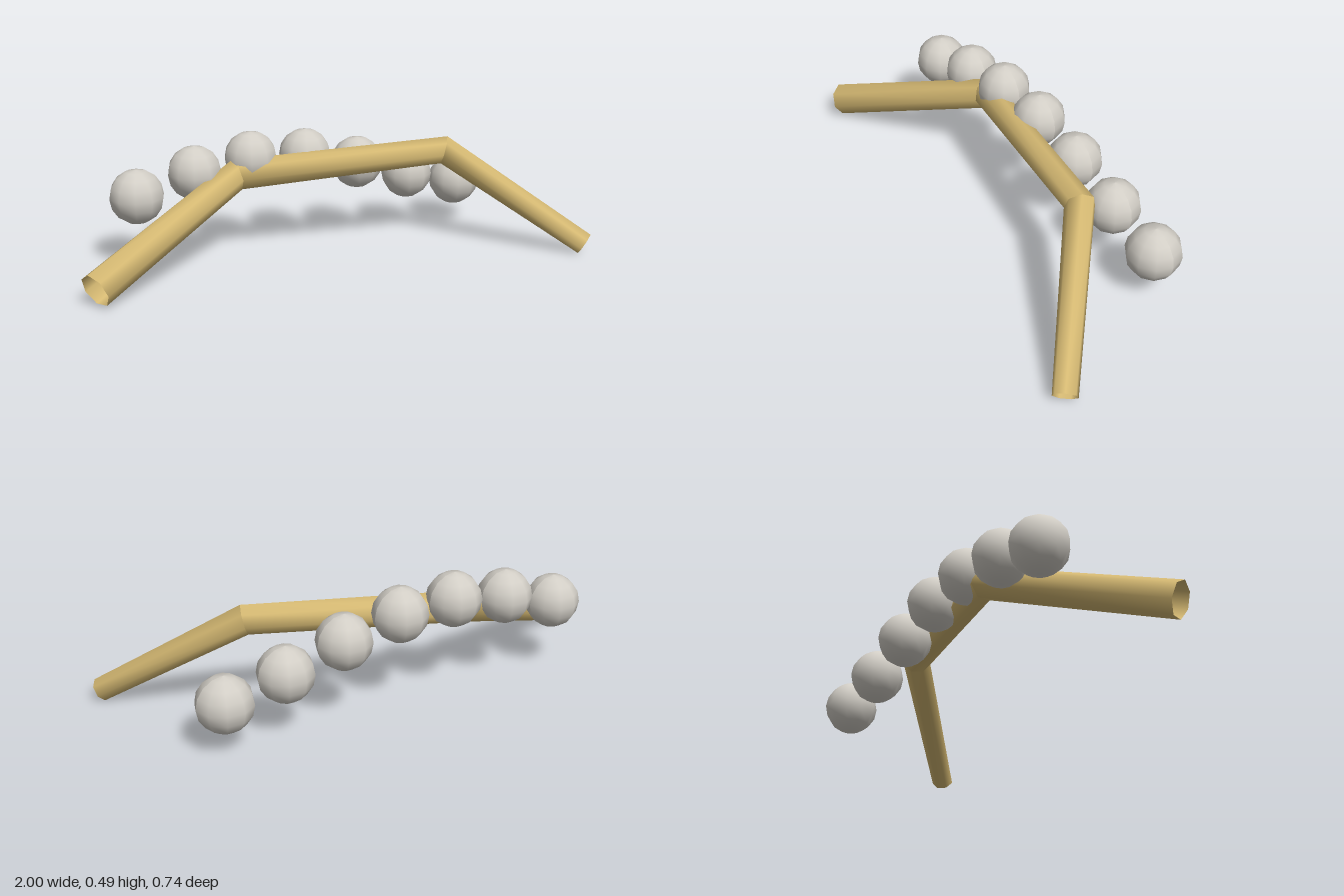
import * as THREE from 'three';
import { mergeGeometries } from 'three/addons/utils/BufferGeometryUtils.js';

const SIDES = 7;

// One ring of points around a path point, square to the given direction
function ring(centre, dir, radius, phase) {
  const u = new THREE.Vector3(0, 1, 0).cross(dir).normalize();
  const v = new THREE.Vector3().crossVectors(dir, u);
  const points = [];
  for (let i = 0; i < SIDES; i++) {
    const a = THREE.MathUtils.degToRad(phase) + (i / SIDES) * Math.PI * 2;
    points.push(centre.clone()
      .addScaledVector(u, radius * Math.cos(a))
      .addScaledVector(v, radius * Math.sin(a)));
  }
  return points;
}

// Open tube section between two rings, smooth around, creased at the joints
function section(a, b) {
  const index = [];
  for (let i = 0; i < SIDES; i++) {
    const j = (i + 1) % SIDES;
    index.push(i, j, SIDES + j, i, SIDES + j, SIDES + i);
  }
  const geometry = new THREE.BufferGeometry().setFromPoints([...a, ...b]);
  geometry.setIndex(index);
  geometry.computeVertexNormals();
  return geometry;
}

export function createModel() {
  const model = new THREE.Group();
  model.name = 'bentTubeWithBalls';

  const tan = new THREE.MeshStandardMaterial({ color: 0xd4b872, side: THREE.DoubleSide });
  tan.name = 'tan';
  const paleGrey = new THREE.MeshStandardMaterial({ color: 0xd2cec6 });
  paleGrey.name = 'paleGrey';

  // Bent, tapering, open-ended tube: x, y, z, radius, phase
  const path = [
    [-0.963, 0.072, 0.1, 0.067, 83],
    [-0.31, 0.33, -0.235, 0.063, 85],
    [0.525, 0.383, -0.055, 0.058, 88],
    [0.963, 0.038, 0.333, 0.046, 90],
  ];
  const centres = path.map(([x, y, z]) => new THREE.Vector3(x, y, z));
  const steps = centres.slice(1).map((p, i) => p.clone().sub(centres[i]).normalize());
  const rings = path.map(([, , , radius, phase], i) => {
    const before = steps[Math.max(i - 1, 0)];
    const after = steps[Math.min(i, steps.length - 1)];
    return ring(centres[i], before.clone().add(after).normalize(), radius, phase);
  });
  const sections = steps.map((_, i) => section(rings[i], rings[i + 1]));
  const tube = new THREE.Mesh(mergeGeometries(sections), tan);
  tube.name = 'bentTube';
  model.add(tube);

  // Row of balls along the back, rising then falling
  const ballGeometry = new THREE.SphereGeometry(0.107, 10, 8);
  ballGeometry.rotateY(Math.PI);
  ballGeometry.computeVertexNormals();
  const balls = new THREE.Group();
  balls.name = 'ballRow';
  [0.283, 0.35, 0.384, 0.371, 0.314, 0.242, 0.184].forEach((y, i) => {
    const ball = new THREE.Mesh(ballGeometry, paleGrey);
    ball.name = `ball${i + 1}`;
    ball.position.set((i - 3) * 0.234, y, -0.267);
    balls.add(ball);
  });
  model.add(balls);

  return model;
}
